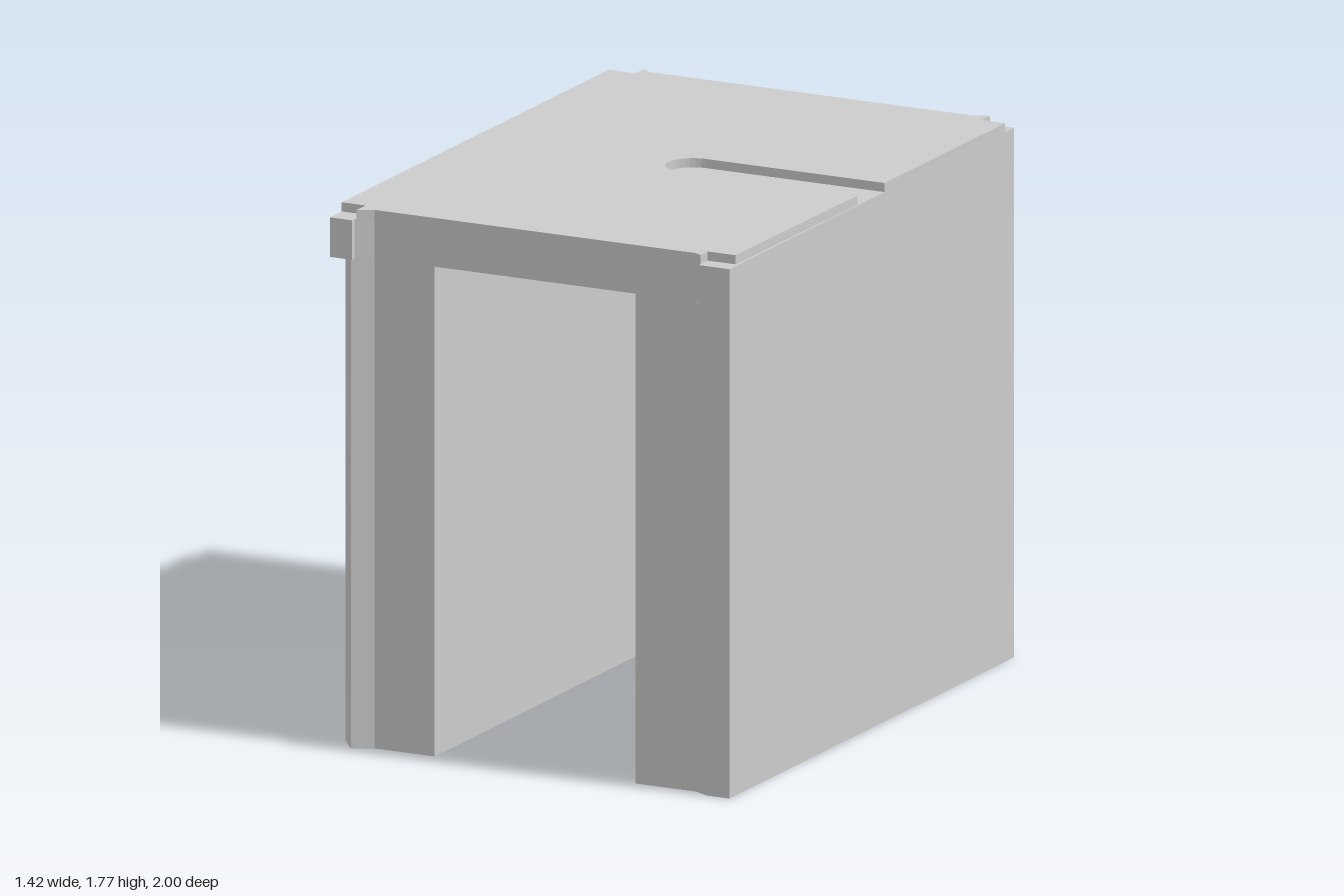
import * as THREE from 'three';

const material = new THREE.MeshStandardMaterial({ color: 0xcccccc, flatShading: true });

// Upright prism from a plan outline of [x, z] points
function prism(name, outline, y0, y1) {
  const shape = new THREE.Shape(outline.map(([x, z]) => new THREE.Vector2(x, -z)));
  const geometry = new THREE.ExtrudeGeometry(shape, { depth: y1 - y0, bevelEnabled: false });
  geometry.rotateX(-Math.PI / 2).translate(0, y0, 0);
  const mesh = new THREE.Mesh(geometry, material);
  mesh.name = name;
  return mesh;
}

export function createModel() {
  const group = new THREE.Group();
  group.name = 'archBlock';
  const legTop = 1.61, ledge = 1.74, top = 1.77;
  const end = 0.953; // flat end faces, between the flared corners

  // Legs with flared outer corners
  group.add(prism('leftLeg', [
    [0.36, end], [0.575, end], [0.63, 0.98], [0.71, 0.98],
    [0.71, -0.98], [0.63, -0.98], [0.575, -end], [0.36, -end],
  ], 0, legTop));
  group.add(prism('rightLeg', [
    [-0.36, end], [-0.575, end], [-0.64, 0.99], [-0.706, 0.9],
    [-0.71, -1], [-0.64, -0.98], [-0.575, -end], [-0.36, -end],
  ], 0, legTop));

  // Lintel with square corner blocks overhanging the legs
  group.add(prism('lintel', [
    [-0.71, 1], [-0.63, 1], [-0.63, 0.985], [-0.575, end],
    [0.6, end], [0.6, 0.98], [0.71, 0.98],
    [0.71, -0.98], [0.63, -0.98], [0.575, -end],
    [-0.575, -end], [-0.63, -0.98], [-0.71, -1],
  ], legTop, ledge));

  // Cap with notched corners and a round-ended slot open on one side
  const slot = [];
  const radius = 0.088, slotX = 0.07;
  for (let i = 0; i <= 16; i++) {
    const a = Math.PI * (0.5 + i / 16);
    slot.push([slotX + radius * Math.cos(a), -radius * Math.sin(a)]);
  }
  group.add(prism('cap', [
    [-0.71, -0.918], [-0.615, -0.918], [-0.615, -0.972], [-0.575, -end],
    [0.575, -end], [0.625, -0.975], [0.625, -0.918], [0.71, -0.918],
    [0.71, -radius], ...slot, [0.705, radius],
    [0.7, 0.918], [0.6, 0.918], [0.6, 0.967], [0.575, end],
    [-0.575, end], [-0.625, 0.98], [-0.625, 0.918], [-0.71, 0.918],
  ], ledge, top));

  return group;
}
